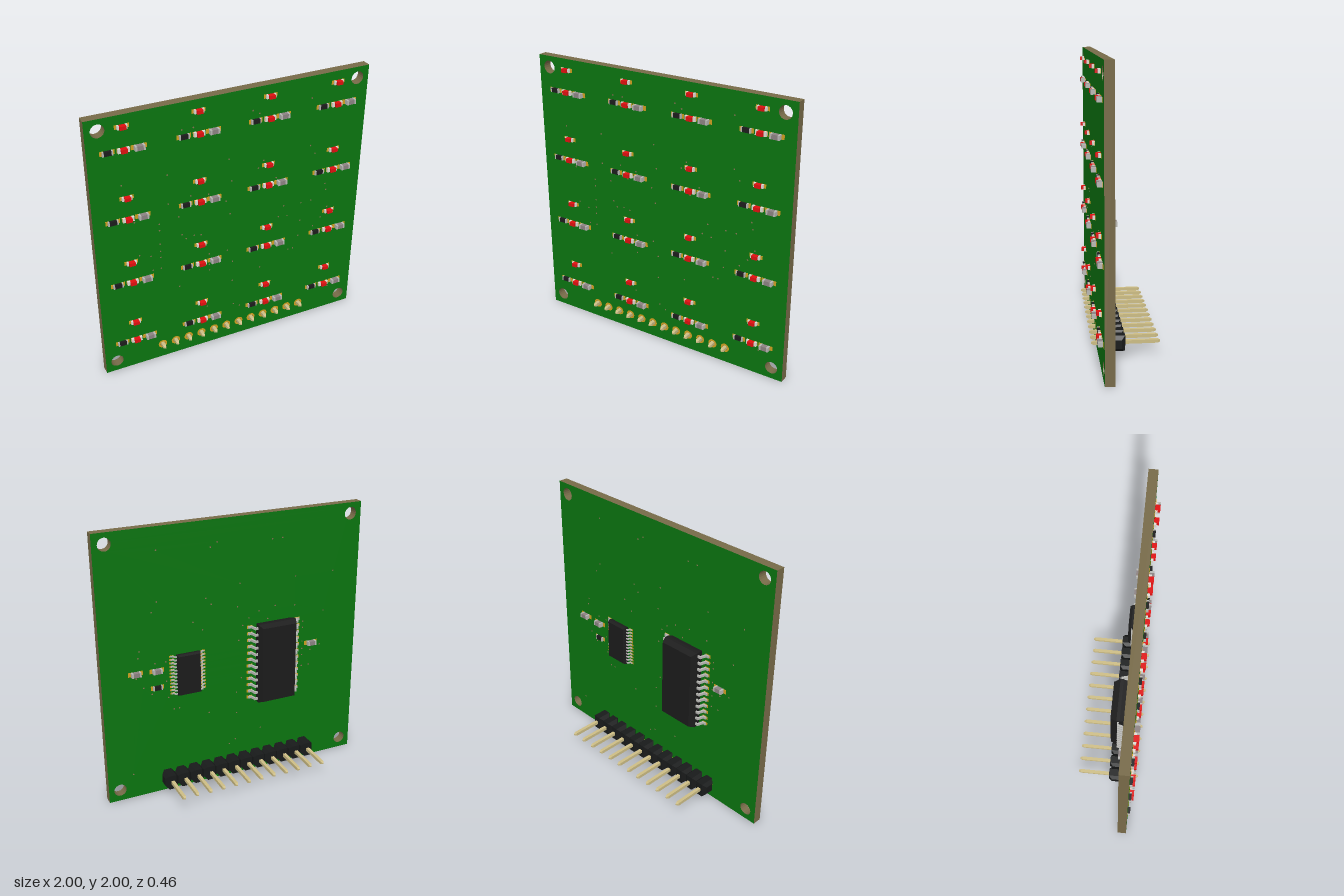
import * as THREE from 'three';
import { ConvexGeometry } from 'three/addons/geometries/ConvexGeometry.js';

const mat = (color) => new THREE.MeshStandardMaterial({ color });
const M = {
  green: mat(0x0b7510), edge: mat(0x776a48), gold: mat(0xd0a020), black: mat(0x1c1c1c),
  plastic: mat(0x181a1a), red: mat(0xe01010), white: mat(0xe0dcd4), silver: mat(0xb8b8b4),
  ceramic: mat(0x8c8282), pin: mat(0xcdbd85),
};
const BACK = 0.114, FRONT = 0.179;
const PITCH = 0.1016, PIN_Y = 0.115;
const pinX = Array.from({ length: 12 }, (_, i) => -0.567 + i * PITCH);

// small plated holes, x and y in hundredths
const VIAS = [
  -79, 151, -48, 151, -4, 152, 13, 184, 18, 181, 57, 184, -37, 181, -29, 181, 22, 145, 18, 140,
  58, 148, 62, 141, -2, 135, -48, 129, -32, 131, -19, 129, -11, 125, -26, 122, -72, 121,
  -55, 115, -55, 110, -55, 99, -55, 93, -55, 88, -55, 79, -62, 91, -70, 94, -61, 79,
  -6, 120, -3, 109, 25, 122, 32, 129, 72, 114, 73, 109, 61, 103, 53, 103, 75, 94, 53, 88,
  70, 86, 64, 80, 52, 75, -5, 79, -1, 68, 44, 65, 48, 65, 21, 56, -1, 51, -21, 34, 0, 29, 5, 26,
  81, 19, -41, 117, -39, 102, -36, 98, -30, 99, -25, 98, -19, 80, -19, 71, -19, 66, -42, 59,
  39, 104, 35, 96, 42, 95,
];

function mesh(name, geo, material, x = 0, y = 0, z = 0) {
  const m = new THREE.Mesh(geo, material);
  m.name = name;
  m.position.set(x, y, z);
  return m;
}
// box resting on z0
const slab = (name, material, w, h, d, x = 0, y = 0, z0 = 0) =>
  mesh(name, new THREE.BoxGeometry(w, h, d), material, x, y, z0 + d / 2);

// convex solid through rectangles [z, width, height]
function hull(sections) {
  const pts = [];
  for (const [z, w, h] of sections)
    for (const sx of [-0.5, 0.5]) for (const sy of [-0.5, 0.5]) pts.push(new THREE.Vector3(sx * w, sy * h, z));
  return new ConvexGeometry(pts);
}

// put a part, built with z pointing away from the board, on either face
function place(part, x, y, onBack) {
  part.position.set(x, y, onBack ? BACK : FRONT);
  if (onBack) part.rotation.y = Math.PI;
  return part;
}

function createBoard() {
  const s = new THREE.Shape([[-1, 0], [1, 0], [1, 2], [-1, 2]].map(([x, y]) => new THREE.Vector2(x, y)));
  const hole = (x, y, r) => s.holes.push(new THREE.Path().absarc(x, y, r, 0, Math.PI * 2, true));
  for (const x of [-0.915, 0.915]) for (const y of [0.085, 1.92]) hole(x, y, 0.046);
  for (const x of pinX) hole(x, PIN_Y, 0.02);
  for (let i = 0; i < VIAS.length; i += 2) hole(VIAS[i] / 100, VIAS[i + 1] / 100, 0.006);
  const geo = new THREE.ExtrudeGeometry(s, { depth: FRONT - BACK, bevelEnabled: false, curveSegments: 10 });
  return mesh('board', geo, [M.green, M.edge], 0, 0, BACK);
}

// two-terminal part: pads, end caps and body
function chipPart(name, { body, ends, w, h, d, endW, padW, lens = 0 }) {
  const g = new THREE.Group();
  g.name = name;
  g.add(slab('partBody', body, w - 2 * endW, h * (lens ? 0.9 : 0.96), d + lens));
  for (const s of [-1, 1]) {
    g.add(slab('terminal', ends, endW, h, d, s * (w - endW) / 2));
    g.add(slab('pad', M.gold, 0.026, h, 0.003, s * (padW / 2 - 0.013)));
  }
  return g;
}
const lamp = () => chipPart('lamp', { body: M.red, ends: M.white, w: 0.068, h: 0.028, d: 0.018, endW: 0.013, padW: 0.096, lens: 0.016 });
const wideLamp = () => chipPart('wideLamp', { body: M.red, ends: M.white, w: 0.078, h: 0.032, d: 0.018, endW: 0.018, padW: 0.084, lens: 0.016 });
const resistor = () => chipPart('resistor', { body: M.black, ends: M.silver, w: 0.07, h: 0.032, d: 0.018, endW: 0.01, padW: 0.098 });
const capacitor = () => chipPart('capacitor', { body: M.ceramic, ends: M.silver, w: 0.068, h: 0.033, d: 0.034, endW: 0.013, padW: 0.106 });

// integrated circuit with bent leads along both long sides
function circuit(name, { w, l, h, span, pitch, leadW, t, inset }) {
  const g = new THREE.Group();
  g.name = name;
  const mid = h * 0.5;
  g.add(mesh('package', hull([
    [0.005, w - inset, l - inset], [mid - t, w, l], [mid + t, w, l], [h, w - 2 * inset, l - 2 * inset],
  ]), M.black));
  // lead outline: shoulder, drop, foot
  const a = w / 2 - 0.01, b = span / 2, k = w / 2 + (span - w) * 0.22, f = k + t;
  const outline = [[a, mid - t / 2], [k - t, mid - t / 2], [k, 0.003], [b, 0.003], [b, 0.003 + t], [f, 0.003 + t], [k, mid + t / 2], [a, mid + t / 2]];
  const lead = new THREE.ExtrudeGeometry(new THREE.Shape(outline.map(([x, y]) => new THREE.Vector2(x, y))), { depth: leadW, bevelEnabled: false });
  lead.translate(0, 0, -leadW / 2).rotateX(Math.PI / 2);
  const footW = b - k + 0.012;
  for (const s of [-1, 1]) {
    for (let i = 0; i < 12; i++) {
      const y = (i - 5.5) * pitch;
      const m = mesh('lead', lead, M.silver, 0, y, 0);
      if (s < 0) m.rotation.z = Math.PI;
      g.add(m);
      g.add(slab('pad', M.gold, footW, leadW * 1.3, 0.003, s * (b + 0.008 - footW / 2), y));
    }
  }
  return g;
}

function createHeader() {
  const g = new THREE.Group();
  g.name = 'pinHeader';
  const half = PITCH / 2, size = 0.108, end = 0.06;
  const block = hull([[-half, end, end], [-0.027, size, size], [0.027, size, size], [half, end, end]]).rotateY(Math.PI / 2);
  const pin = hull([[-0.232, 0.01, 0.01], [-0.215, 0.024, 0.024], [0.215, 0.024, 0.024], [0.232, 0.01, 0.01]]);
  const ring = new THREE.RingGeometry(0.019, 0.033, 24);
  for (const x of pinX) {
    g.add(mesh('headerBlock', block, M.plastic, x, PIN_Y, BACK - size / 2));
    g.add(mesh('headerPin', pin, M.pin, x, PIN_Y, 0));
    g.add(mesh('frontPad', ring, M.gold, x, PIN_Y, FRONT + 0.002));
    const back = mesh('backPad', ring, M.gold, x, PIN_Y, BACK - 0.002);
    back.rotation.y = Math.PI;
    g.add(back);
  }
  return g;
}

export function createModel() {
  const model = new THREE.Group();
  model.name = 'lampMatrixBoard';
  model.add(createBoard(), createHeader());

  // 4 x 4 grid of lamp cells on the front
  for (let row = 0; row < 4; row++) {
    for (let col = 0; col < 4; col++) {
      const x = -0.762 + col * 0.508, y = 0.398 + row * 0.508;
      model.add(
        place(lamp(), x, y),
        place(resistor(), x - 0.104, y - 0.16),
        place(wideLamp(), x, y - 0.16),
        place(capacitor(), x + 0.102, y - 0.16),
      );
    }
  }

  // circuits and loose parts on the back
  model.add(
    place(circuit('largeCircuit', { w: 0.3, l: 0.616, h: 0.106, span: 0.412, pitch: 0.0508, leadW: 0.017, t: 0.011, inset: 0.018 }), -0.307, 0.9, true),
    place(circuit('smallCircuit', { w: 0.176, l: 0.312, h: 0.05, span: 0.256, pitch: 0.026, leadW: 0.01, t: 0.006, inset: 0.008 }), 0.37, 0.92, true),
    place(capacitor(), 0.755, 0.98, true),
    place(capacitor(), 0.6, 0.975, true),
    place(resistor(), 0.6, 0.845, true),
    place(capacitor(), -0.62, 0.97, true),
  );
  return model;
}
